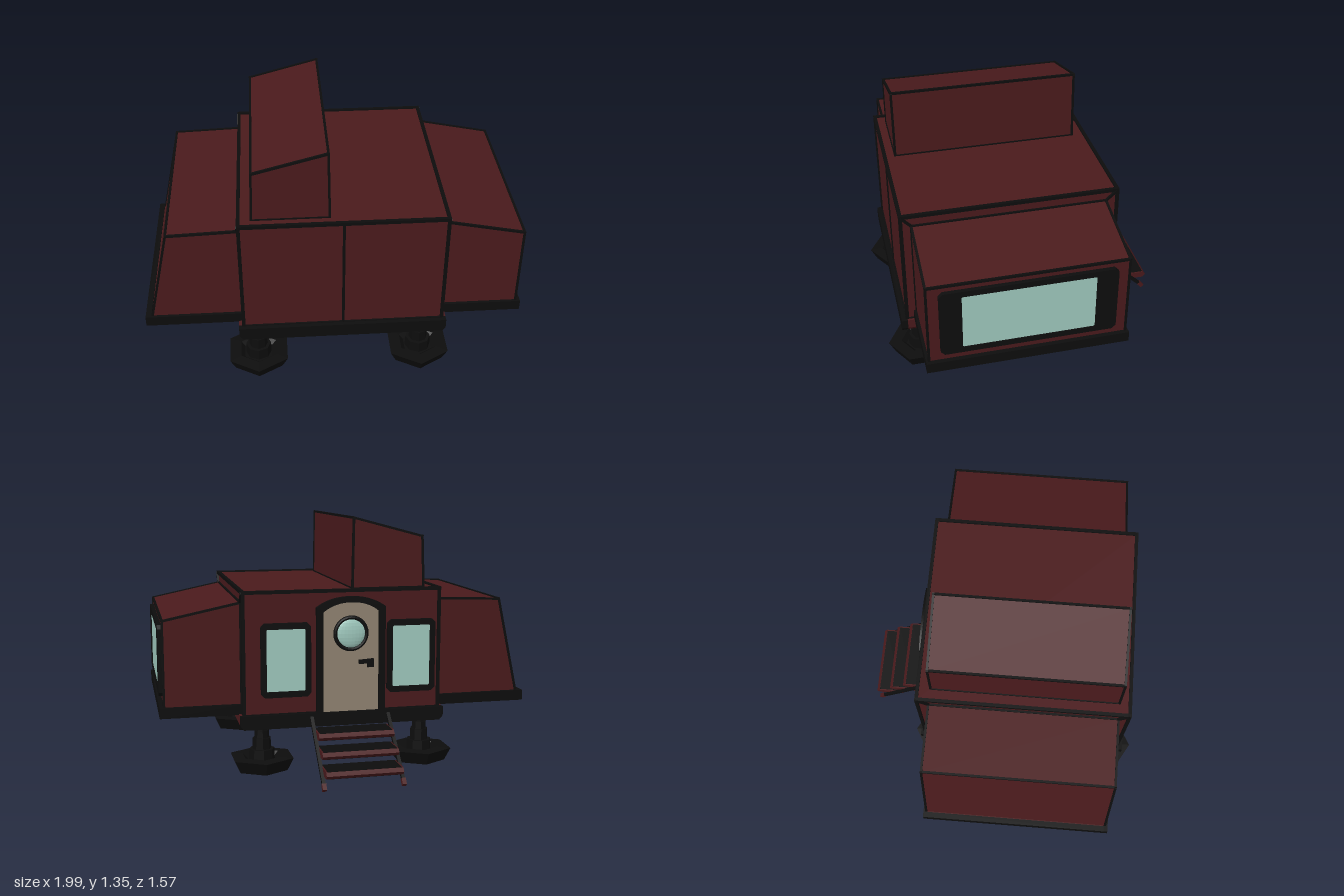
import * as THREE from 'three';

const mat = (color, side = THREE.FrontSide) =>
  new THREE.MeshStandardMaterial({ color, flatShading: true, side });
const RED = mat(0x4a1a1c), BLACK = mat(0x0d0d0d), GLASS = mat(0xa0cabf), TAN = mat(0x918472);

function add(parent, name, geo, material, x = 0, y = 0, z = 0) {
  const m = new THREE.Mesh(geo, material);
  m.name = name;
  m.position.set(x, y, z);
  parent.add(m);
  return m;
}

const toShape = pts => new THREE.Shape(pts.map(p => new THREE.Vector2(p[0], p[1])));

// solid with an x-y profile, running from z0 to z1
function prism(parent, name, pts, z0, z1, material) {
  const geo = new THREE.ExtrudeGeometry(toShape(pts), { depth: z1 - z0, bevelEnabled: false });
  return add(parent, name, geo, material, 0, 0, z0);
}

// square bar between two points
function bar(parent, name, a, b, t, material = BLACK) {
  const p = new THREE.Vector3(...a), q = new THREE.Vector3(...b);
  const m = add(parent, name, new THREE.BoxGeometry(t, t, p.distanceTo(q) + t), material);
  m.position.copy(p).add(q).multiplyScalar(0.5);
  m.lookAt(q);
  return m;
}

// dark trim along every edge of a prism
function edgeTrim(parent, name, pts, z0, z1, t) {
  pts.forEach((p, i) => {
    const q = pts[(i + 1) % pts.length];
    bar(parent, name, [...p, z0], [...p, z1], t);
    for (const z of [z0, z1]) bar(parent, name, [...p, z], [...q, z], t);
  });
}

// rectangle outline with cut corners
const cutRect = (w, h, c) => [
  [-w + c, -h], [w - c, -h], [w, -h + c], [w, h - c],
  [w - c, h], [-w + c, h], [-w, h - c], [-w, -h + c]];

// framed window facing local +z
function makeWindow(name, w, h, gw, gh, depth) {
  const g = new THREE.Group();
  g.name = name;
  const shape = toShape(cutRect(w, h, 0.02));
  shape.holes.push(new THREE.Path(cutRect(gw, gh, 0.004).map(p => new THREE.Vector2(...p))));
  add(g, 'windowFrame', new THREE.ExtrudeGeometry(shape, { depth, bevelEnabled: false }), BLACK);
  add(g, 'windowGlass', new THREE.BoxGeometry(gw * 2, gh * 2, depth * 0.8), GLASS, 0, 0, depth * 0.4);
  return g;
}

// arched door outline
function archShape(w, y0, y1, top) {
  const s = new THREE.Shape();
  s.moveTo(-w, y0);
  s.lineTo(w, y0);
  s.lineTo(w, y1);
  s.quadraticCurveTo(w * 0.6, top, 0, top);
  s.quadraticCurveTo(-w * 0.6, top, -w, y1);
  s.closePath();
  return s;
}

function makeDoor() {
  const g = new THREE.Group();
  g.name = 'door';
  const frame = archShape(0.185, 0.33, 0.89, 0.945);
  frame.holes.push(archShape(0.15, 0.335, 0.865, 0.915));
  add(g, 'doorFrame', new THREE.ExtrudeGeometry(frame, { depth: 0.028, bevelEnabled: false }), BLACK);
  add(g, 'doorPanel', new THREE.ExtrudeGeometry(archShape(0.155, 0.33, 0.865, 0.918),
    { depth: 0.014, bevelEnabled: false }), TAN);
  add(g, 'portholeRing', new THREE.TorusGeometry(0.084, 0.011, 8, 28), BLACK, 0, 0.75, 0.017);
  const dome = add(g, 'portholeGlass', new THREE.SphereGeometry(0.08, 24, 12), GLASS, 0, 0.75, 0.014);
  dome.scale.z = 0.27;
  add(g, 'doorHandle', new THREE.BoxGeometry(0.08, 0.022, 0.012), BLACK, 0.08, 0.6, 0.03);
  add(g, 'handlePlate', new THREE.BoxGeometry(0.035, 0.045, 0.016), BLACK, 0.105, 0.59, 0.02);
  return g;
}

// stepped column on a faceted dish
function makeFoot() {
  const g = new THREE.Group();
  g.name = 'foot';
  const dish = [[0, 0.02], [0.145, 0.02], [0.18, 0.088], [0.11, 0.092], [0.085, 0.07], [0, 0.07]]
    .map(p => new THREE.Vector2(...p));
  add(g, 'footPad', new THREE.LatheGeometry(dish, 6), BLACK);
  for (const [r, y0, y1] of [[0.07, 0.06, 0.13], [0.05, 0.13, 0.19], [0.04, 0.19, 0.23], [0.03, 0.23, 0.28]])
    add(g, 'footColumn', new THREE.CylinderGeometry(r * 0.96, r, y1 - y0, 8), BLACK, 0, (y0 + y1) / 2, 0);
  return g;
}

function makeSteps() {
  const g = new THREE.Group();
  g.name = 'steps';
  for (const s of [-1, 1]) {
    const x = 0.005 + s * 0.207;
    bar(g, 'stepRail', [x, 0.32, -0.44], [x, 0.03, -0.75], 0.018);
    bar(g, 'railEnd', [x, 0.032, -0.748], [x, 0.022, -0.757], 0.022, RED);
  }
  // treads with pointed red edges and dark grip plates
  const profile = [[-0.083, 0], [-0.066, -0.018], [0.066, -0.018], [0.083, 0], [0.066, 0.018], [-0.066, 0.018]];
  for (let i = 0; i < 3; i++) {
    const y = 0.24 - i * 0.075, z = -0.525 - i * 0.0875;
    const geo = new THREE.ExtrudeGeometry(toShape(profile), { depth: 0.4, bevelEnabled: false });
    geo.translate(0, 0, -0.2);
    add(g, 'tread', geo, RED, 0.005, y, z).rotation.y = Math.PI / 2;
    add(g, 'treadGrip', new THREE.BoxGeometry(0.385, 0.039, 0.13), BLACK, 0.005, y, z);
  }
  return g;
}

export function createModel() {
  const model = new THREE.Group();
  model.name = 'cabin';

  // main cabin
  const body = [[-0.485, 0.33], [0.565, 0.33], [0.565, 0.975], [-0.485, 0.975]];
  prism(model, 'mainBody', body, -0.43, 0.69, RED);
  edgeTrim(model, 'bodyTrim', body, -0.43, 0.69, 0.018);
  bar(model, 'frontSeam', [0.04, 0.34, 0.69], [0.04, 0.97, 0.69], 0.014);

  // floor slab with dark side rails
  const floor = [[-0.49, 0.262], [0.57, 0.262], [0.587, 0.285], [0.587, 0.335], [-0.51, 0.335], [-0.51, 0.285]];
  prism(model, 'floor', floor, -0.43, 0.69, RED);
  prism(model, 'floorRailFront', floor, 0.69, 0.722, BLACK);
  prism(model, 'floorRailBack', floor, -0.455, -0.43, BLACK);

  // end rooms
  const rooms = [
    ['slopedRoom', [[-0.49, 0.36], [-0.967, 0.36], [-0.85, 0.9], [-0.49, 0.913]], -0.998, -0.49],
    ['windowRoom', [[0.57, 0.36], [0.97, 0.36], [0.97, 0.835], [0.57, 0.918]], 0.994, 0.57]];
  for (const [name, pts, xo, xi] of rooms) {
    prism(model, name, pts, -0.37, 0.638, RED);
    edgeTrim(model, name + 'Trim', pts, -0.37, 0.638, 0.012);
    const lo = Math.min(xo, xi), len = Math.abs(xo - xi), s = Math.sign(xo);
    add(model, name + 'Floor', new THREE.BoxGeometry(len - 0.02, 0.05, 1.01), RED, lo + len / 2 - s * 0.01, 0.353, 0.134);
    for (const z of [-0.375, 0.643])
      add(model, name + 'Rail', new THREE.BoxGeometry(len, 0.056, 0.022), BLACK, lo + len / 2, 0.358, z);
    add(model, name + 'Rail', new THREE.BoxGeometry(0.03, 0.056, 1.03), BLACK, xo - s * 0.015, 0.358, 0.134);
    // collar where the room meets the cabin
    const cx = xi + s * 0.002;
    for (const [zo, zi] of [[-0.425, -0.37], [0.685, 0.638]])
      bar(model, 'collarMitre', [cx, 0.97, zo], [cx, 0.92, zi], 0.012);
  }

  // panoramic end window
  const wide = makeWindow('endWindow', 0.445, 0.187, 0.335, 0.155, 0.022);
  wide.rotation.y = Math.PI / 2;
  wide.position.set(0.97, 0.617, 0.135);
  model.add(wide);

  // roof box
  const roof = [[-0.42, 0.975], [-0.028, 0.975], [-0.035, 1.347], [-0.41, 1.247]];
  prism(model, 'roofBox', roof, -0.36, 0.633, RED);
  edgeTrim(model, 'roofBoxTrim', roof, -0.36, 0.633, 0.012);

  // back wall: door between two windows
  const back = new THREE.Group();
  back.name = 'backWall';
  back.position.z = -0.428;
  back.rotation.y = Math.PI;
  back.add(makeDoor());
  for (const x of [-0.345, 0.33]) {
    const w = makeWindow('backWindow', 0.132, 0.195, 0.102, 0.163, 0.02);
    w.position.set(x, 0.62, 0);
    back.add(w);
  }
  model.add(back);

  // feet and steps
  for (const x of [-0.415, 0.46]) for (const z of [-0.33, 0.61]) {
    const f = makeFoot();
    f.position.set(x, 0, z);
    model.add(f);
  }
  model.add(makeSteps());
  return model;
}
